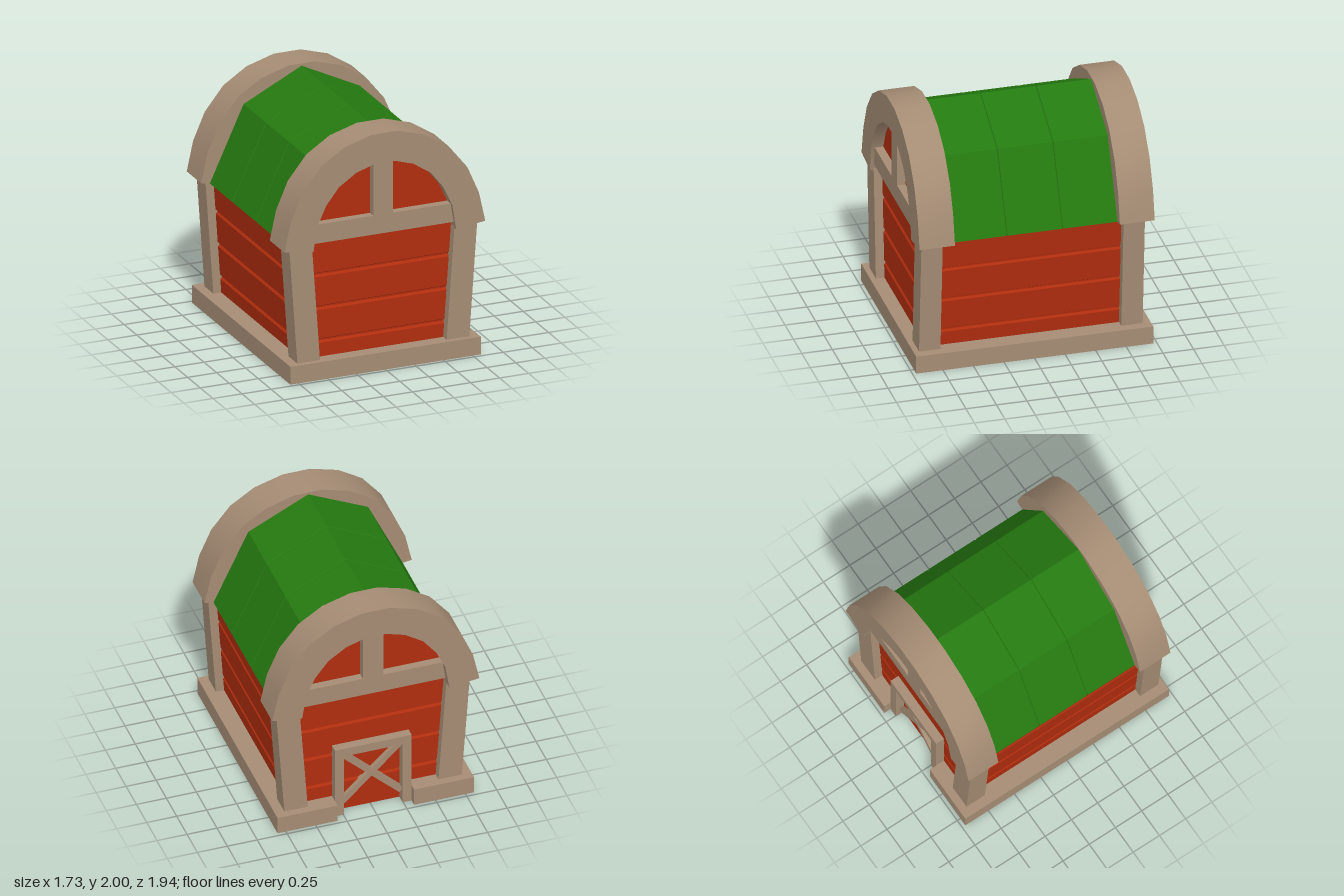
import * as THREE from 'three';
import { toCreasedNormals } from 'three/addons/utils/BufferGeometryUtils.js';

const material = (name, color) => Object.assign(new THREE.MeshStandardMaterial({ color }), { name });

export function createModel() {
  const barn = new THREE.Group();
  barn.name = 'barn';
  const wood = material('tan wood', 0xa58c74);
  const red = material('red boards', 0xb02d0e);
  const green = material('green roof', 0x257a10);

  function add(name, geometry, mat) {
    const mesh = new THREE.Mesh(geometry, mat);
    mesh.name = name;
    barn.add(mesh);
    return mesh;
  }
  // Box given by its limits on each axis
  function box(name, mat, [x0, x1], [y0, y1], [z0, z1]) {
    const mesh = add(name, new THREE.BoxGeometry(x1 - x0, y1 - y0, z1 - z0), mat);
    mesh.position.set((x0 + x1) / 2, (y0 + y1) / 2, (z0 + z1) / 2);
    return mesh;
  }
  // Outline in x and y, extruded from z0 to z1
  function slab(points, z0, z1, bevel = 0) {
    const shape = new THREE.Shape(points.map(([x, y]) => new THREE.Vector2(x, y)));
    return new THREE.ExtrudeGeometry(shape, {
      depth: z1 - z0 - 2 * bevel, bevelEnabled: bevel > 0, bevelSize: bevel,
      bevelThickness: bevel, bevelOffset: -bevel, bevelSegments: 2,
    }).translate(0, 0, z0 + bevel);
  }
  // Completes a half outline (running up to the middle) with its mirror image
  const mirror = (half) => [...half, ...half.filter(([x]) => x > 0).reverse().map(([x, y]) => [-x, y])];

  // Base plate with a doorway notch at the back
  const base = slab(mirror([[0.82, -0.97], [0.82, 0.97], [0.32, 0.97], [0.32, 0.83]]), 0, 0.15);
  add('base', base.rotateX(-Math.PI / 2), wood);

  // Board walls: rectangular rings widening upward, pinched at each groove
  const levels = [[0.004, 0]];
  for (const y of [0.285, 0.565, 0.845]) {
    levels.push([y - 0.02, 0], [y - 0.004, 0.016], [y + 0.008, 0.016], [y + 0.018, 0]);
  }
  levels.push([1.125, 0]);
  const positions = [];
  const index = [];
  levels.forEach(([y, inset], i) => {
    const x = 0.662 + 0.07 * y - inset, front = 0.855 - inset, back = -0.835 + inset;
    positions.push(x, y, front, x, y, back, -x, y, back, -x, y, front);
    if (i === 0) return;
    for (let k = 0; k < 4; k++) {
      const a = (i - 1) * 4 + k, b = (i - 1) * 4 + (k + 1) % 4;
      index.push(a, b, b + 4, a, b + 4, a + 4);
    }
  });
  const top = (levels.length - 1) * 4;
  index.push(0, 2, 1, 0, 3, 2, top, top + 1, top + 2, top, top + 2, top + 3);
  const ring = new THREE.BufferGeometry();
  ring.setAttribute('position', new THREE.Float32BufferAttribute(positions, 3));
  ring.setIndex(index);
  const walls = ring.toNonIndexed();
  walls.computeVertexNormals();
  add('boardWalls', walls, red);

  // Leaning corner posts
  for (const [end, z0, z1] of [['front', 0.75, 0.925], ['back', -0.905, -0.73]]) {
    for (const s of [1, -1]) {
      const outline = [[0.545, 0.14], [0.74, 0.14], [0.81, 1.13], [0.615, 1.13]].map(([x, y]) => [s * x, y]);
      add(end + (s > 0 ? 'Left' : 'Right') + 'Post', slab(outline, z0, z1), wood);
    }
  }

  // Arches, gable panels and their cross beams at both ends
  const outer = [[0.865, 1.12], [0.81, 1.37], [0.71, 1.6], [0.55, 1.8], [0.35, 1.93], [0.115, 2]];
  const inner = [[0.615, 1.085], [0.58, 1.3], [0.505, 1.46], [0.395, 1.6], [0.245, 1.7], [0.085, 1.75]];
  const archOutline = [...mirror(outer), ...mirror(inner).reverse()];
  const gableOutline = mirror(inner.map(([x, y]) => [x * 1.08, 1.105 + (y - 1.085) * 1.06]));
  const ends = [
    { name: 'front', arch: [0.665, 0.955], gable: [0.6, 0.855], beam: [0.8, 0.925] },
    { name: 'back', arch: [-0.97, -0.685], gable: [-0.835, -0.6], beam: [-0.905, -0.8] },
  ];
  for (const { name, arch, gable, beam } of ends) {
    add(name + 'Arch', toCreasedNormals(slab(archOutline, ...arch), 0.6), wood);
    add(name + 'Gable', slab(gableOutline, ...gable), red);
    box(name + 'Beam', wood, [-0.613, 0.613], [1.14, 1.3], beam);
    box(name + 'Mullion', wood, [-0.085, 0.085], [1.29, 1.76], beam);
  }

  // Three roof panels with softened edges
  const roofOutline = mirror([[0.79, 1.108], [0.5, 1.735], [0, 1.982]]);
  [[0.217, 0.68], [-0.238, 0.217], [-0.7, -0.238]].forEach(([z0, z1], i) => {
    add('roofPanel' + (i + 1), slab(roofOutline, z0, z1, 0.01), green);
  });

  // Back door: frame and crossed braces
  for (const s of [1, -1]) {
    box('doorJamb', wood, s > 0 ? [0.245, 0.32] : [-0.32, -0.245], [0, 0.65], [-0.91, -0.82]);
    const dx = 0.49, dy = 0.47;
    const brace = add('doorBrace', new THREE.BoxGeometry(Math.hypot(dx, dy), 0.05, 0.05), wood);
    brace.position.set(0, 0.335, -0.85 - 0.002 * s);
    brace.rotation.z = s * Math.atan2(dy, dx);
  }
  box('doorLintel', wood, [-0.245, 0.245], [0.575, 0.65], [-0.91, -0.82]);

  return barn;
}
